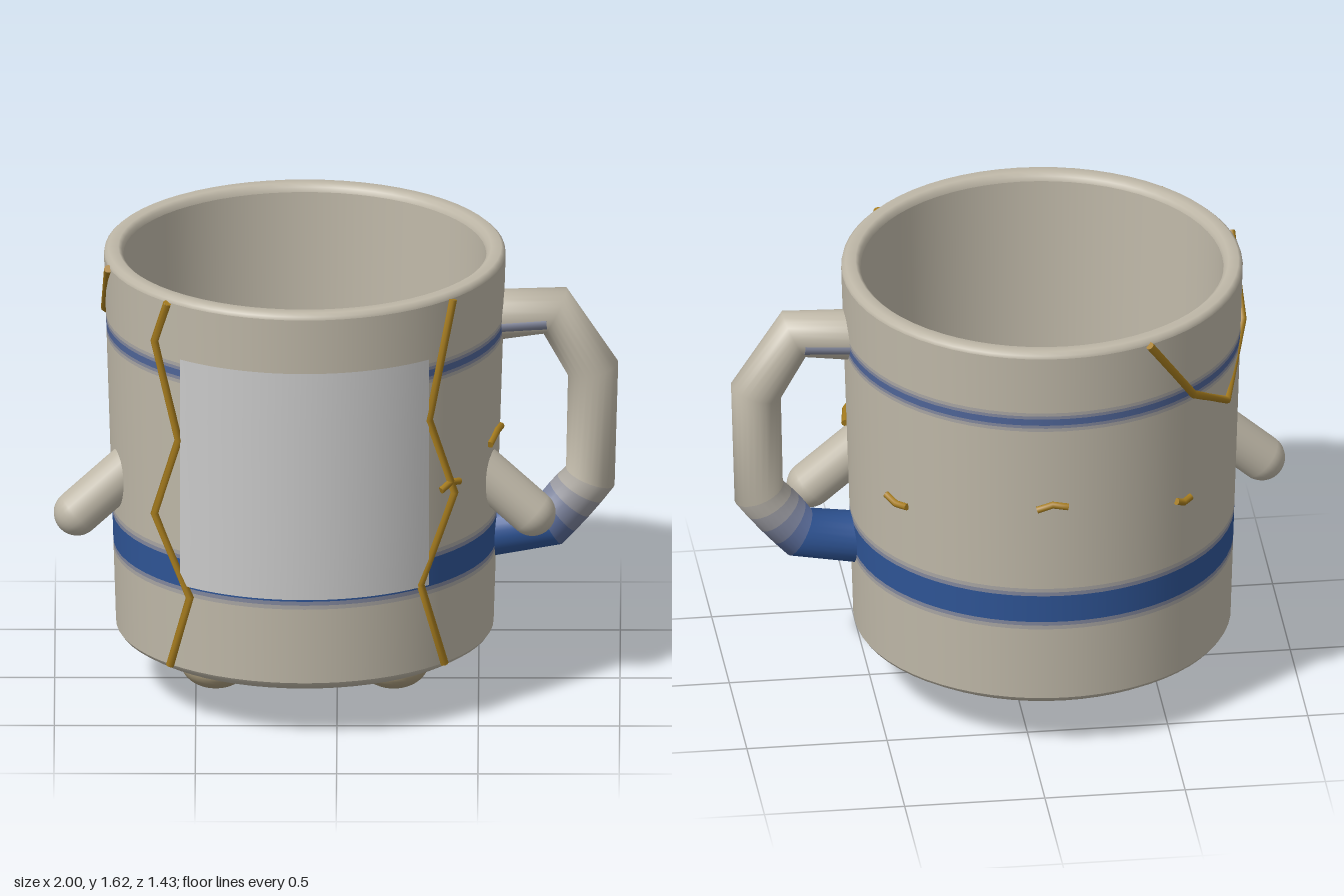
import * as THREE from 'three';

const CX = -0.115; // cup axis
const CREAM = 0xbfb8a8, BLUE = 0x2f5596, GOLD = 0xa67c1e;
const radiusAt = (y) => 0.668 + (y - 0.22) * 0.031;
const blend = (t) => new THREE.Color(CREAM).lerp(new THREE.Color(BLUE), t);
const V = (x, y, z) => new THREE.Vector3(x, y, z);

function add(parent, name, geometry, color, side = THREE.FrontSide) {
  const mesh = new THREE.Mesh(geometry, new THREE.MeshStandardMaterial({ color, side }));
  mesh.name = name;
  parent.add(mesh);
  return mesh;
}

// Straight-sided path with mitred bends; u0..u1 picks a stretch of it
class Polyline extends THREE.Curve {
  constructor(points, u0 = 0, u1 = points.length - 1) {
    super();
    Object.assign(this, { points, u0, u1 });
    const last = points.length - 1;
    const dir = (i) => points[i + 1].clone().sub(points[i]).normalize();
    this.tangents = points.map((p, i) =>
      dir(Math.max(i - 1, 0)).add(dir(Math.min(i, last - 1))).normalize());
  }
  pick(list, t) {
    const u = this.u0 + (this.u1 - this.u0) * t;
    const i = Math.min(Math.floor(u + 1e-6), list.length - 2);
    return list[i].clone().lerp(list[i + 1], u - i);
  }
  getPoint(t) { return this.pick(this.points, t); }
  getPointAt(t) { return this.getPoint(t); }
  getTangentAt(t) { return this.pick(this.tangents, t).normalize(); }
}

// Tube along a polyline, with discs closing both ends
function rod(parent, name, points, radius, color, sides = 8) {
  const curve = new Polyline(points);
  add(parent, name, new THREE.TubeGeometry(curve, points.length - 1, radius, sides), color);
  for (const t of [0, 1]) {
    const cap = add(parent, name + 'End', new THREE.CircleGeometry(radius, sides), color, THREE.DoubleSide);
    cap.position.copy(curve.getPoint(t));
    cap.quaternion.setFromUnitVectors(V(0, 0, 1), curve.getTangentAt(t));
  }
}

// Point on the cup wall; angle in degrees from the front towards +x
function onWall(deg, y, lift = 0.006) {
  const a = THREE.MathUtils.degToRad(deg), r = radiusAt(y) + lift;
  return V(CX + r * Math.sin(a), y, r * Math.cos(a));
}

function buildCup(parent) {
  const lathe = (name, pts, color) => {
    const geo = new THREE.LatheGeometry(pts.map(([r, y]) => new THREE.Vector2(r, y)), 64);
    add(parent, name, geo, color).position.x = CX;
  };
  lathe('cupBase', [[0, 0.15], [0.465, 0.153], [0.62, 0.183], [0.66, 0.208], [0.668, 0.22]], CREAM);
  // Wall in stacked rings, with softened edges on the painted bands
  const rings = [[0.22, 0], [0.5, 0.25], [0.515, 0.6], [0.53, 1], [0.635, 0.6], [0.65, 0.25],
    [0.665, 0], [1.305, 0.25], [1.318, 0.6], [1.33, 0.9], [1.355, 0.6], [1.367, 0.25], [1.38, 0], [1.6, 0]];
  for (let i = 0; i < rings.length - 1; i++) {
    const [y0, t] = rings[i], y1 = rings[i + 1][0];
    lathe(t ? 'paintedBand' : 'cupWall', [[radiusAt(y0), y0], [radiusAt(y1), y1]], blend(t));
  }
  lathe('cupRim', [[radiusAt(1.6), 1.6], [0.708, 1.612], [0.696, 1.623], [0.66, 1.623],
    [0.647, 1.612], [0.642, 1.595]], CREAM);
  lathe('cupInside', [[0.642, 1.595], [0.622, 0.9], [0.605, 0.38], [0.59, 0.31], [0.56, 0.285]], CREAM);
  lathe('cupFloor', [[0.56, 0.285], [0, 0.28]], CREAM);
  const stain = add(parent, 'drinkStain', new THREE.CircleGeometry(0.355, 48), 0x94704a);
  stain.rotation.x = -Math.PI / 2;
  stain.position.set(CX, 0.291, 0);
}

function buildPanel(parent) {
  // Curved plate wrapped on the front wall
  const geo = new THREE.PlaneGeometry(0.88, 0.86, 24, 4);
  const p = geo.attributes.position;
  for (let i = 0; i < p.count; i++) {
    const y = p.getY(i) + 0.97;
    p.setXYZ(i, p.getX(i) + CX, y, Math.sqrt((radiusAt(y) + 0.01) ** 2 - p.getX(i) ** 2));
  }
  geo.computeVertexNormals();
  add(parent, 'frontPanel', geo, 0xcccccc, THREE.DoubleSide);
}

function buildHandle(parent) {
  const path = [[0.53, 1.365], [0.77, 1.383], [0.905, 1.165], [0.895, 0.76], [0.75, 0.59], [0.5, 0.55]]
    .map(([x, y]) => V(x, y, 0));
  // Stretches from plain to painted
  const stops = [[0, 0], [1, 0], [2, 0], [3, 0.15], [3.25, 0.4], [3.5, 0.65], [3.75, 0.85], [4, 1], [5, 1]];
  for (let i = 0; i < stops.length - 1; i++) {
    const curve = new Polyline(path, stops[i][0], stops[i + 1][0]);
    add(parent, 'handle', new THREE.TubeGeometry(curve, 1, 0.092, 24), blend(stops[i][1]));
  }
  // Paint streaks where the upper band runs on to the handle
  for (const z of [-0.063, 0.063])
    rod(parent, 'handleStreak', [V(0.53, 1.35, z), V(0.74, 1.366, z)], 0.031, blend(0.6), 12);
}

function buildLimbs(parent) {
  for (const s of [-1, 1]) {
    // Arm: capsule passing through the wall
    const a = V(CX + s * 0.565, 0.9, 0.155), b = V(CX + s * 0.805, 0.685, 0.175);
    const d = b.clone().sub(a);
    const arm = add(parent, s > 0 ? 'leftArm' : 'rightArm',
      new THREE.CapsuleGeometry(0.083, d.length(), 10, 24), CREAM);
    arm.position.copy(a).add(b).multiplyScalar(0.5);
    arm.quaternion.setFromUnitVectors(V(0, 1, 0), d.normalize());
    // Foot: flattened ball
    const foot = add(parent, s > 0 ? 'leftFoot' : 'rightFoot', new THREE.SphereGeometry(1, 32, 20), 0xa89a7c);
    foot.scale.set(0.124, 0.084, 0.147);
    foot.position.set(CX + s * 0.315, 0.084, 0.07);
  }
}

function buildCracks(parent) {
  // Long front seams, given as x and y
  const seams = [
    [[-0.6, 1.6], [-0.645, 1.44], [-0.56, 1.09], [-0.645, 0.78], [-0.52, 0.5], [-0.59, 0.22]],
    [[0.41, 1.6], [0.325, 1.17], [0.415, 0.86], [0.295, 0.55], [0.38, 0.22]],
  ];
  for (const seam of seams) {
    const pts = seam.map(([x, y]) =>
      onWall(THREE.MathUtils.radToDeg(Math.asin((x - CX) / (radiusAt(y) + 0.006))), y));
    rod(parent, 'goldSeam', pts, 0.015, GOLD);
  }
  // Seam dipping from the rim at the back, given as angle and height
  const dip = [[-155, 1.6], [-138, 1.33], [-119, 1.2], [-95, 1.37], [-76, 1.6]];
  rod(parent, 'goldRimSeam', dip.map(([a, y]) => onWall(a, y)), 0.015, GOLD);
  // Short chips around the wall: centre angle, height, half width, bend
  const chips = [[48, 0.895, 4, 0.01], [77, 0.975, 7, 0.012], [125, 0.9, 4.5, -0.008],
    [176, 1.0, 4.5, 0.01], [-141, 0.915, 3, -0.008]];
  for (const [a, y, w, bend] of chips)
    rod(parent, 'goldChip', [onWall(a - w, y - bend), onWall(a, y + bend), onWall(a + w, y)], 0.013, GOLD);
}

export function createModel() {
  const model = new THREE.Group();
  model.name = 'mug';
  const parts = { cup: buildCup, panel: buildPanel, handleGroup: buildHandle, limbs: buildLimbs, cracks: buildCracks };
  for (const [name, build] of Object.entries(parts)) {
    const group = new THREE.Group();
    group.name = name;
    build(group);
    model.add(group);
  }
  return model;
}
